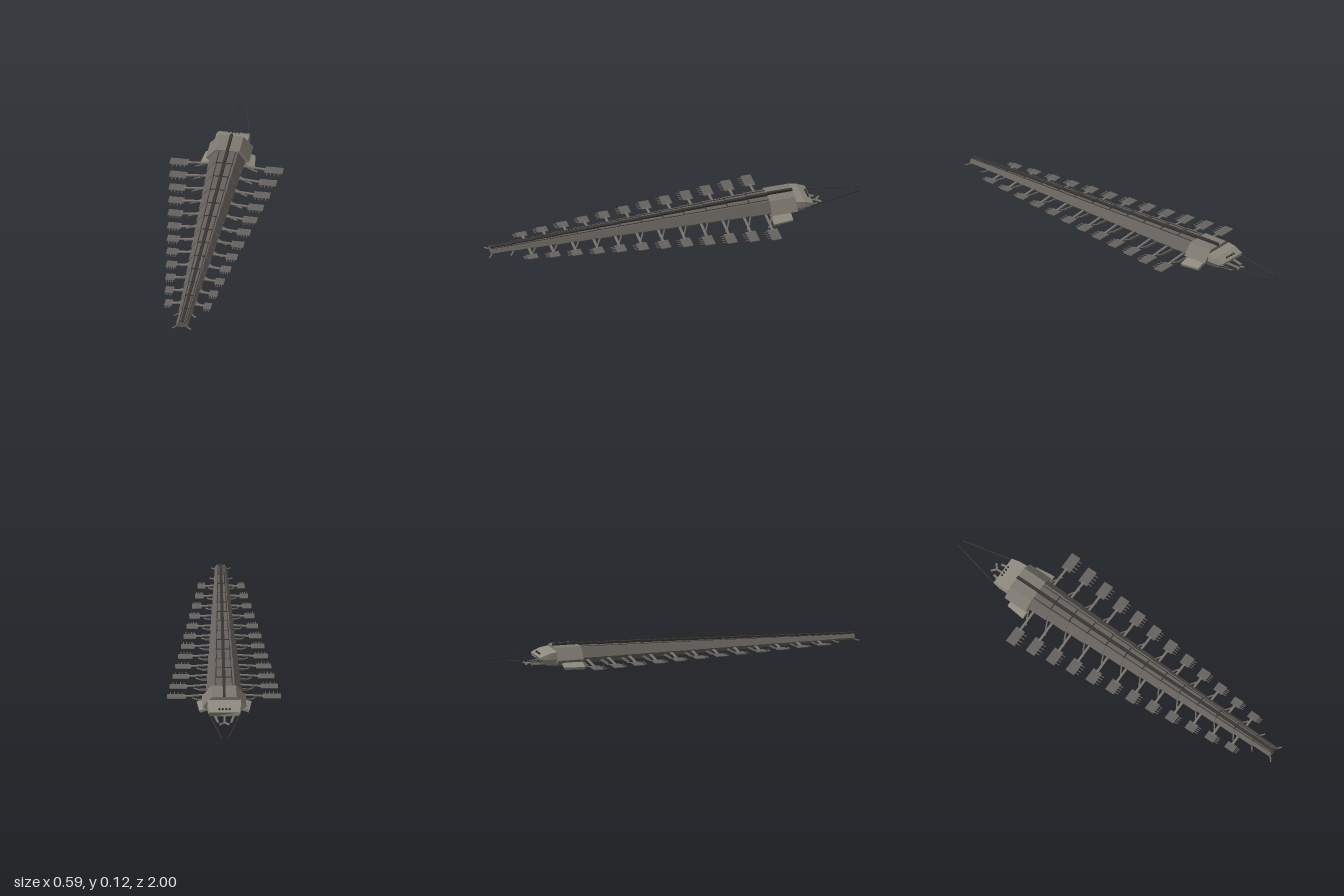
import * as THREE from 'three';

const mat = (name, color) => {
  const m = new THREE.MeshStandardMaterial({ color });
  m.name = name;
  return m;
};

// Closed, flat-faced solid through rings of [x, y, z] (counterclockwise from +z, ordered along +z)
function loft(rings) {
  const pos = [];
  const tri = (a, b, c) => pos.push(...a, ...b, ...c);
  const n = rings[0].length;
  for (let r = 0; r < rings.length - 1; r++) {
    const p = rings[r], q = rings[r + 1];
    for (let i = 0; i < n; i++) {
      const j = (i + 1) % n;
      tri(p[i], p[j], q[j]);
      tri(p[i], q[j], q[i]);
    }
  }
  const first = rings[0], last = rings[rings.length - 1];
  for (let i = 1; i < n - 1; i++) {
    tri(first[0], first[i + 1], first[i]);
    tri(last[0], last[i], last[i + 1]);
  }
  const g = new THREE.BufferGeometry();
  g.setAttribute('position', new THREE.Float32BufferAttribute(pos, 3));
  g.computeVertexNormals();
  return g;
}

// Six-sided armour section: flat top, widest at the middle, narrower belly
const hexRing = (top, yTop, mid, yMid, bottom, yBottom, z) => [
  [bottom, yBottom, z], [mid, yMid, z], [top, yTop, z],
  [-top, yTop, z], [-mid, yMid, z], [-bottom, yBottom, z],
];

export function createModel() {
  const shell = mat('shell brown', 0x67625d);
  const collarMat = mat('collar grey', 0x7d786f);
  const headMat = mat('head grey', 0x8e8a7e);
  const dark = mat('dark ridge', 0x373533);
  const paddleMat = mat('paddle grey', 0x65625e);
  const limbMat = mat('limb grey', 0x77736b);

  const model = new THREE.Group();
  const add = (name, geo, material, parent = model) => {
    const m = new THREE.Mesh(geo, material);
    m.name = name;
    parent.add(m);
    return m;
  };
  const box = (name, w, h, d, x, y, z, material, parent) => {
    const m = add(name, new THREE.BoxGeometry(w, h, d), material, parent);
    m.position.set(x, y, z);
    return m;
  };
  // Straight bar between two points
  const bar = (name, a, b, w, h, material, parent) => {
    const A = new THREE.Vector3(...a), B = new THREE.Vector3(...b);
    const m = add(name, new THREE.BoxGeometry(w, h, A.distanceTo(B)), material, parent);
    m.position.copy(A).lerp(B, 0.5);
    m.lookAt(B);
    return m;
  };

  const axis = 0.05, pitch = 0.1145, start = -0.51, count = 13;
  const scaleAt = i => 1 - 0.0535 * i;
  const Y = (y, s) => axis + (y - axis) * s;

  // Body segments, each a step smaller towards the tail
  for (let i = 0; i < count; i++) {
    const s = scaleAt(i), z0 = start + i * pitch, z1 = z0 + pitch;
    const ring = z => hexRing(0.055 * s, Y(0.1, s), 0.092 * s, Y(0.05, s), 0.055 * s, Y(0.016, s), z);
    const segment = new THREE.Group();
    segment.name = 'bodySegment';
    model.add(segment);
    add('segmentShell', loft([ring(z0), ring(z1)]), shell, segment);
    box('segmentSeam', 0.09 * s, 0.003, 0.006, 0, Y(0.1, s), z1 - 0.004, dark, segment);
    box('backRidge', 0.016, 0.014 * s + 0.004, pitch, 0, Y(0.104, s), z0 + pitch / 2, dark, segment);
    for (const k of [-1, 1]) {
      box('backRail', 0.004, 0.004, pitch, k * 0.042 * s, Y(0.1, s), z0 + pitch / 2, dark, segment);
    }
  }

  // Short walking legs at every joint, tail fork included
  for (let i = 0; i <= count; i++) {
    const s = scaleAt(i), z = start + i * pitch, reach = 0.035 * s + 0.01;
    for (const k of [-1, 1]) {
      const knee = [k * 0.13 * s, Y(0.013, s), z + reach * 0.5];
      bar('legUpper', [k * 0.05 * s, Y(0.034, s), z - 0.012], knee, 0.008, 0.012 * s, shell);
      bar('legFoot', knee, [k * 0.162 * s, Y(0.014, s), z + reach - 0.003], 0.006, 0.004, limbMat);
    }
  }

  // Paddles on arms with trailing bristles
  for (let i = 0; i < 12; i++) {
    const s = scaleAt(i), z = -0.476 + i * 0.1142, y = Y(0.028, s);
    for (const k of [-1, 1]) {
      const paddle = new THREE.Group();
      paddle.name = k > 0 ? 'leftPaddle' : 'rightPaddle';
      model.add(paddle);
      bar('paddleArm', [k * 0.06 * s, Y(0.04, s), z], [k * 0.21 * s, y, z], 0.012, 0.006, limbMat, paddle);
      box('paddleBlade', 0.095 * s, 0.004, 0.053, k * 0.247 * s, y, z, paddleMat, paddle);
      for (let b = 0; b < 4; b++) {
        box('paddleBristle', 0.004, 0.003, 0.022, k * (0.215 + b * 0.02) * s, y, z + 0.036, paddleMat, paddle);
      }
    }
  }

  // Collar behind the head, with raised ridge
  const collarRing = z => hexRing(0.062, 0.105, 0.113, 0.047, 0.06, 0.01, z);
  add('collar', loft([collarRing(-0.64), collarRing(-0.505)]), collarMat);
  box('collarRidge', 0.014, 0.016, 0.135, 0, 0.109, -0.5725, dark);

  // Drooping side fins below the collar
  for (const k of [-1, 1]) {
    const finRing = (z, x) => {
      const r = [[0.06, 0.022, z], [x - 0.004, 0, z], [x, 0.013, z], [0.06, 0.038, z]];
      return k > 0 ? r : r.map(([a, b, c]) => [-a, b, c]).reverse();
    };
    add('sideFin', loft([finRing(-0.61, 0.13), finRing(-0.505, 0.142)]), headMat);
  }

  // Wedge head with sloping brow
  const brow = [
    [0.055, 0.02, -0.695], [0.08, 0.045, -0.732], [0.08, 0.06, -0.732],
    [-0.08, 0.06, -0.732], [-0.08, 0.045, -0.732], [-0.055, 0.02, -0.695],
  ];
  add('head', loft([
    brow,
    hexRing(0.085, 0.08, 0.088, 0.05, 0.06, 0.014, -0.685),
    hexRing(0.085, 0.088, 0.088, 0.05, 0.06, 0.012, -0.638),
  ]), headMat);

  // Row of small eyes
  for (const x of [-0.027, -0.009, 0.009, 0.027]) {
    const eye = add('eye', new THREE.SphereGeometry(0.006, 8, 6), dark);
    eye.position.set(x, 0.073, -0.718);
  }

  // Jaws and forked mouthpart
  bar('mouthStem', [0, 0.022, -0.68], [0, 0.02, -0.772], 0.01, 0.008, limbMat);
  for (const k of [-1, 1]) {
    bar('mouthFork', [0, 0.02, -0.768], [k * 0.025, 0.02, -0.79], 0.01, 0.006, limbMat);
    bar('jaw', [k * 0.05, 0.024, -0.69], [k * 0.034, 0.02, -0.765], 0.011, 0.008, limbMat);
    // Long feelers converging ahead of the head
    bar('feeler', [k * 0.082, 0.046, -0.715], [k * 0.017, 0.046, -1], 0.005, 0.005, dark);
  }

  return model;
}
